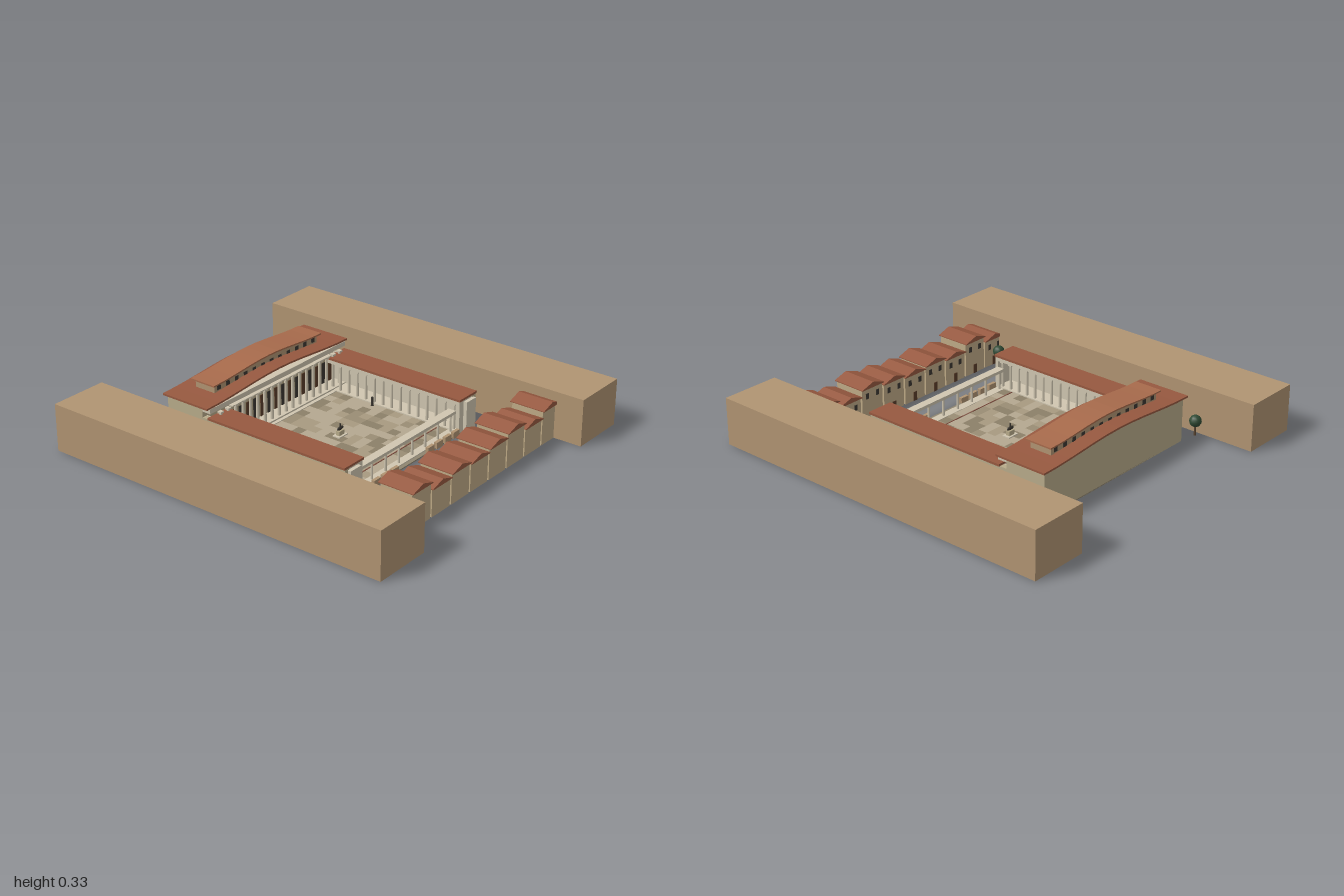
import * as THREE from 'three';
import { mergeGeometries } from 'three/addons/utils/BufferGeometryUtils.js';

const mat = (color) => new THREE.MeshStandardMaterial({ color });
const M = {
  block: mat(0xb09472), house: mat(0xbfaa86), roof: mat(0x975940), ridge: mat(0xa86b4c),
  wall: mat(0xb8ab8a), pale: mat(0xd0c6b0), dark: mat(0x3b3731), door: mat(0x5a3d2a),
  base: mat(0x8f8570), leaf: mat(0x2f4a34), trunk: mat(0x5a4632), line: mat(0x7d4a3c),
};

export function createModel() {
  const root = new THREE.Group();

  const add = (name, geo, material, x = 0, y = 0, z = 0, parent = root) => {
    const m = new THREE.Mesh(geo, material);
    m.name = name;
    m.position.set(x, y, z);
    parent.add(m);
    return m;
  };
  // box given by its limits
  const box = (name, material, x0, x1, y0, y1, z0, z1, parent = root) =>
    add(name, new THREE.BoxGeometry(x1 - x0, y1 - y0, z1 - z0), material,
      (x0 + x1) / 2, (y0 + y1) / 2, (z0 + z1) / 2, parent);
  // shape in the xy plane, extruded from z0 to z1
  const prism = (name, material, pts, z0, z1, parent = root) => {
    const shape = new THREE.Shape(pts.map((p) => new THREE.Vector2(p[0], p[1])));
    return add(name, new THREE.ExtrudeGeometry(shape, { depth: z1 - z0, bevelEnabled: false }),
      material, 0, 0, z0, parent);
  };
  // shallow arc over the width, used for vaulted roofs
  const arc = (half, yEnd, yMid, n = 12) => Array.from({ length: n + 1 }, (_, i) => {
    const t = (i / n) * 2 - 1;
    return [t * half, yEnd + (yMid - yEnd) * (0.5 + 0.5 * Math.cos(t * Math.PI))];
  });
  const arcSlab = (name, material, half, yEnd, yMid, thick, z0, z1) => {
    const top = arc(half, yEnd, yMid);
    const under = top.map(([x, y]) => [x, y - thick]);
    return prism(name, material, [...under, ...top.reverse()], z0, z1);
  };
  const column = (x, z, y0, y1, r, parent) => {
    add('columnShaft', new THREE.CylinderGeometry(r * 0.8, r, y1 - y0, 8), M.pale, x, (y0 + y1) / 2, z, parent);
    box('columnCapital', M.pale, x - r * 1.3, x + r * 1.3, y1 - 0.01, y1, z - r * 1.3, z + r * 1.3, parent);
  };

  // long flanking blocks
  for (const s of [-1, 1]) {
    box('flankingBlock', M.block, s * 0.82 - 0.16, s * 0.82 + 0.16, 0, 0.255, -1, 1);
  }

  // courtyard base and patchwork paving
  box('courtyardBase', M.base, -0.53, 0.53, 0, 0.006, -0.67, 0.45);
  const tints = [0xb5a890, 0xa89a80, 0x9a8d74, 0x8c8069];
  const tiles = tints.map(() => []);
  let seed = 7;
  const rnd = () => (seed = (seed * 16807) % 2147483647) / 2147483647;
  const tile = 0.78 / 14;
  for (let i = 0; i < 14; i++) for (let j = 0; j < 13; j++) {
    const g = new THREE.BoxGeometry(tile, 0.004, 0.72 / 13);
    g.translate(-0.39 + (i + 0.5) * tile, 0.008, -0.335 + (j + 0.5) * 0.72 / 13);
    tiles[Math.min(3, Math.floor(rnd() * rnd() * 6))].push(g);
  }
  tiles.forEach((g, k) => g.length && add('paving', mergeGeometries(g), mat(tints[k])));
  box('pavingLine', M.line, -0.39, 0.39, 0.008, 0.012, 0.325, 0.331);

  // rear hall: body, doors, colonnade, steps, vaulted roof
  const hall = new THREE.Group();
  hall.name = 'rearHall';
  root.add(hall);
  prism('hallWalls', M.wall, [[-0.53, 0], [0.53, 0], ...arc(0.53, 0.238, 0.266).reverse()], -0.67, -0.44, hall);
  box('hallStep', M.pale, -0.39, 0.39, 0.006, 0.014, -0.44, -0.335, hall);
  box('hallPlinth', M.pale, -0.53, 0.53, 0.006, 0.022, -0.44, -0.355, hall);
  box('entablature', M.pale, -0.53, 0.53, 0.212, 0.238, -0.44, -0.388, hall);
  box('columnLintel', M.pale, -0.39, 0.39, 0.205, 0.212, -0.44, -0.366, hall);
  for (let i = 0; i < 18; i++) {
    const x = (i - 8.5) * 0.055;
    column(x, -0.376, 0.022, 0.21, 0.009, hall);
    box('hallDoor', i % 2 ? M.door : M.dark, x - 0.017, x + 0.017, 0.022, 0.14, -0.441, -0.436, hall);
  }
  arcSlab('hallRoof', M.roof, 0.55, 0.247, 0.277, 0.01, -0.685, -0.39);

  // raised clerestory with its own roof
  prism('clerestoryWalls', M.block, [[-0.4, 0.24], [0.4, 0.24], ...arc(0.4, 0.298, 0.318).reverse()], -0.6, -0.475);
  for (let i = 0; i < 12; i++) {
    const x = (i - 5.5) * 0.067;
    box('clerestoryWindow', M.dark, x - 0.013, x + 0.013, 0.262, 0.288, -0.602, -0.473);
  }
  arcSlab('clerestoryRoof', M.ridge, 0.42, 0.302, 0.326, 0.008, -0.615, -0.46);

  // side wings with inner colonnades
  for (const s of [-1, 1]) {
    const wing = new THREE.Group();
    wing.name = s > 0 ? 'leftWing' : 'rightWing';
    root.add(wing);
    const sx = (a, b) => (s > 0 ? [a, b] : [-b, -a]);
    box('wingOuterWall', M.wall, ...sx(0.5, 0.53), 0, 0.18, -0.45, 0.45, wing);
    box('wingInnerLining', M.pale, ...sx(0.495, 0.5), 0, 0.18, -0.44, 0.43, wing);
    box('wingEndWall', M.pale, ...sx(0.395, 0.5), 0, 0.18, 0.43, 0.448, wing);
    box('wingEntablature', M.pale, ...sx(0.395, 0.42), 0.158, 0.18, -0.4, 0.43, wing);
    box('wingPlinth', M.pale, ...sx(0.39, 0.5), 0.006, 0.016, -0.39, 0.43, wing);
    box('wingRoof', M.roof, ...sx(0.39, 0.538), 0.18, 0.192, -0.4, 0.452, wing);
    box('endPilaster', M.pale, ...sx(0.43, 0.51), 0, 0.17, 0.448, 0.468, wing);
    for (let i = 0; i < 14; i++) column(s * 0.407, -0.32 + i * 0.056, 0.016, 0.16, 0.008, wing);
    // low benches before the entrance
    for (let i = 0; i < 4; i++) {
      box('bench', M.block, ...sx(0.12 + i * 0.072, 0.172 + i * 0.072), 0, 0.035, 0.44, 0.458);
    }
  }

  // entrance screen: beam on posts
  box('entranceBeam', M.pale, -0.39, 0.39, 0.112, 0.128, 0.385, 0.43);
  box('entranceSill', M.pale, -0.39, 0.39, 0.006, 0.012, 0.385, 0.43);
  for (let i = 0; i < 8; i++) column((i - 3.5) * 0.108, 0.407, 0.012, 0.112, 0.007, root);

  // central monument and small post
  box('monumentStep', M.pale, -0.034, 0.034, 0.008, 0.016, -0.022, 0.022);
  box('monumentPedestal', M.wall, -0.02, 0.02, 0.016, 0.04, -0.011, 0.011);
  add('statueBody', new THREE.SphereGeometry(1, 10, 8), M.dark, 0, 0.051, 0).scale.set(0.026, 0.01, 0.007);
  add('statueFigure', new THREE.CylinderGeometry(0.003, 0.005, 0.024, 8), M.dark, 0, 0.066, 0);
  add('courtPost', new THREE.CylinderGeometry(0.006, 0.008, 0.05, 8), M.dark, 0.375, 0.033, -0.085);

  // row of gabled houses
  const eaves = [0.155, 0.19, 0.15, 0.165, 0.155, 0.17, 0.19, 0.155, 0.19];
  eaves.forEach((h, i) => {
    const house = new THREE.Group();
    house.name = 'rowHouse';
    house.position.x = (i - 4) * 0.155;
    root.add(house);
    box('houseWalls', M.house, -0.072, 0.072, 0, h, 0.66, 0.84, house);
    prism('houseRoof', M.roof, [[-0.0775, h - 0.003], [0.0775, h - 0.003], [0.0775, h + 0.001], [0, h + 0.026], [-0.0775, h + 0.001]], 0.65, 0.85, house);
    for (const s of [-1, 1]) {
      box('houseWindow', M.dark, s * 0.036 - 0.01, s * 0.036 + 0.01, h - 0.06, h - 0.03, 0.657, 0.662, house);
    }
    box('houseDoor', M.door, -0.012, 0.012, 0, 0.05, 0.657, 0.662, house);
  });

  // corner trees
  for (const x of [-0.627, 0.627]) for (const z of [-0.683, 0.632]) {
    add('treeTrunk', new THREE.CylinderGeometry(0.005, 0.007, 0.06, 6), M.trunk, x, 0.03, z);
    add('treeCrown', new THREE.SphereGeometry(0.032, 12, 8), M.leaf, x, 0.08, z);
  }

  return root;
}
